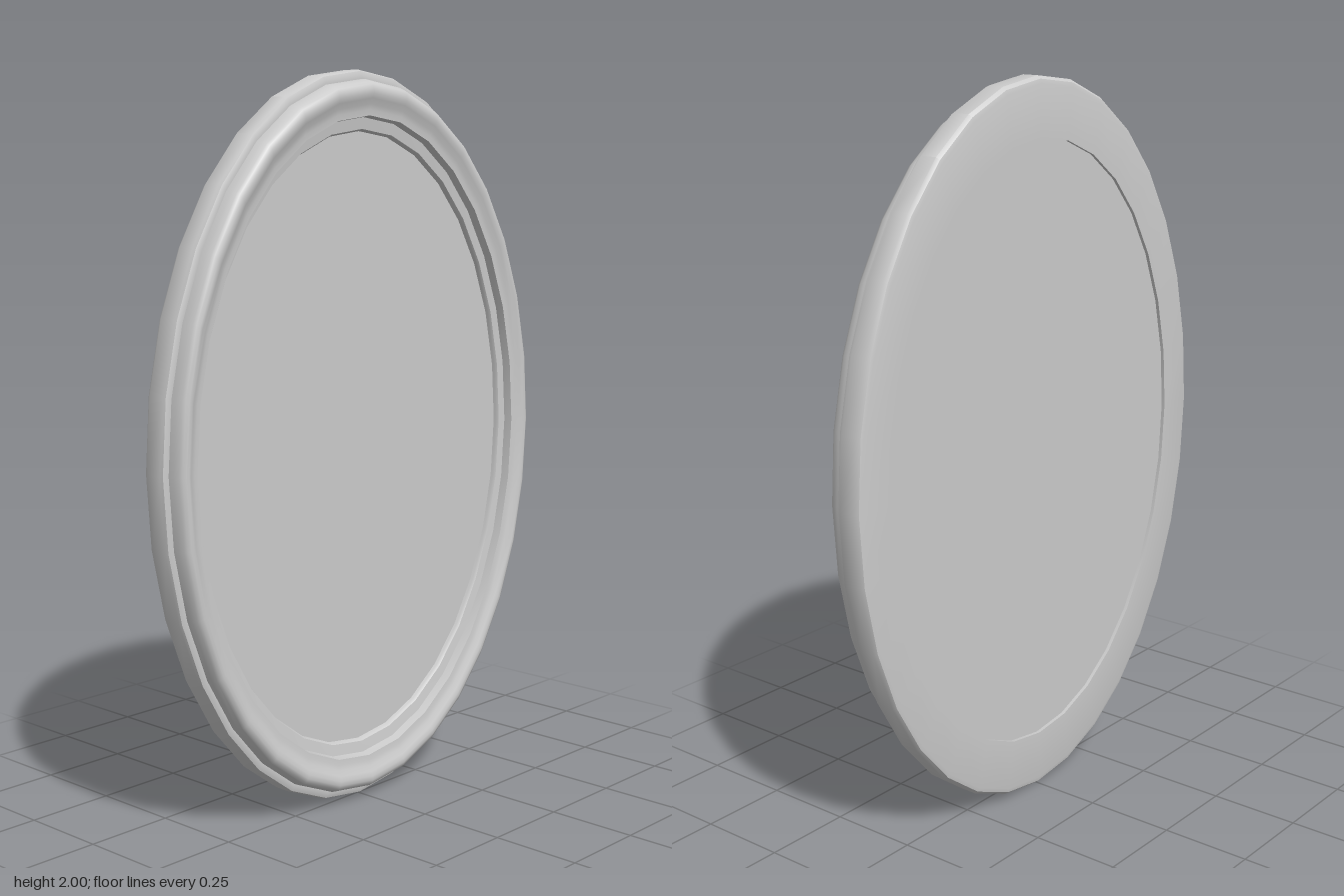
import * as THREE from 'three';
import { toCreasedNormals } from 'three/addons/utils/BufferGeometryUtils.js';

const SEGMENTS = 32;
const WIDTH_RATIO = 0.715; // oval width relative to its height

// Turn a round geometry's axis to z, squash it to an oval and stand it on the floor
function toOval(geometry) {
  geometry.rotateX(Math.PI / 2);
  geometry.scale(WIDTH_RATIO, 1, 1);
  geometry.translate(0, 1, 0);
  return toCreasedNormals(geometry, 0.65);
}

function addPart(group, name, geometry) {
  const mesh = new THREE.Mesh(toOval(geometry), new THREE.MeshStandardMaterial({ color: 0xcccccc }));
  mesh.name = name;
  group.add(mesh);
}

export function createModel() {
  const group = new THREE.Group();
  group.name = 'ovalFrame';

  // Moulding cross-section as (radius, depth), counter-clockwise from the back inner edge
  const profile = [
    [0.84, -0.06], [0.98, -0.06], [0.992, -0.057], [1, -0.047],
    [1, 0], [0.996, 0.009], [0.985, 0.013], [0.975, 0.013], // backing rim
    [0.974, 0.03], [0.968, 0.045], [0.962, 0.054], [0.95, 0.059], [0.938, 0.059], // raised bead
    [0.925, 0.055], [0.91, 0.048], [0.895, 0.045], [0.88, 0.044], // cove
    [0.876, 0.02], [0.845, 0.016], [0.84, 0.008], // inner ledge
    [0.84, -0.06],
  ].map(([r, z]) => new THREE.Vector2(r, z));
  addPart(group, 'frame', new THREE.LatheGeometry(profile, SEGMENTS));

  // Flat panel held inside the frame, slightly recessed at the back
  const panel = new THREE.CylinderGeometry(0.843, 0.843, 0.05, SEGMENTS);
  panel.translate(0, -0.025, 0);
  addPart(group, 'panel', panel);

  return group;
}
